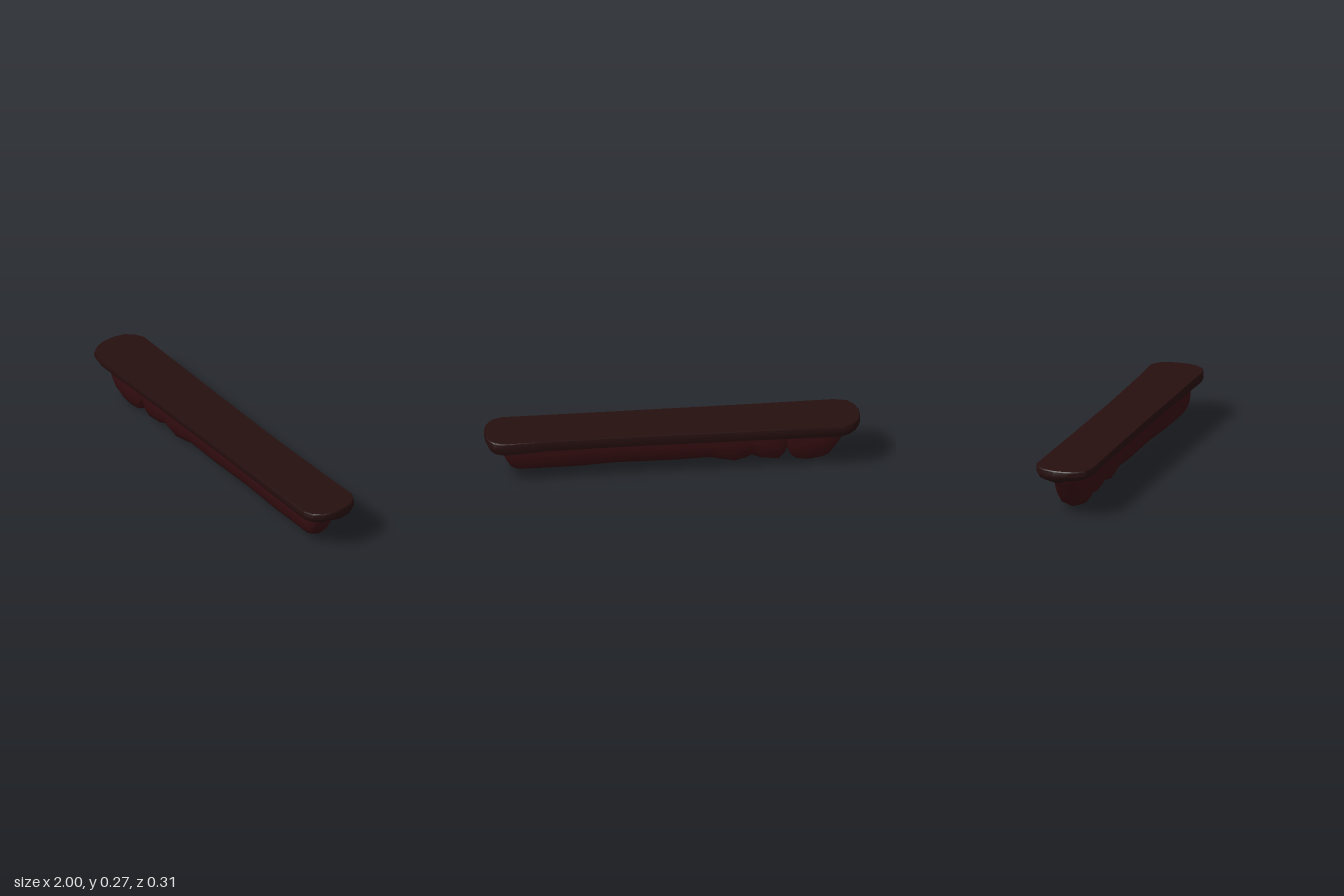
import * as THREE from 'three';
import { toCreasedNormals } from 'three/addons/utils/BufferGeometryUtils.js';

// Skin closed rings of [x, y, z] points, with a fan closing each end.
function loft(rings, crease) {
  const n = rings[0].length, last = (rings.length - 1) * n;
  const points = rings.flat(), index = [];
  const centre = (ring) => [0, 1, 2].map((k) => ring.reduce((s, p) => s + p[k], 0) / n);
  const start = points.push(centre(rings[0])) - 1;
  const end = points.push(centre(rings[rings.length - 1])) - 1;
  for (let j = 0; j < n; j++) {
    const k = (j + 1) % n;
    for (let i = 0; i < last; i += n) {
      index.push(i + j, i + n + j, i + k, i + k, i + n + j, i + n + k);
    }
    index.push(start, j, k, end, last + k, last + j);
  }
  const geometry = new THREE.BufferGeometry();
  geometry.setAttribute('position', new THREE.Float32BufferAttribute(points.flat(), 3));
  geometry.setIndex(index);
  return toCreasedNormals(geometry, crease);
}

// Long slab with clipped round ends and a stepped underside.
function slabGeometry() {
  const outline = [
    [1, -0.03], [0.99, -0.1], [0.965, -0.135], [0.92, -0.158], [0.7, -0.15], [0.2, -0.143],
    [-0.4, -0.149], [-0.9, -0.156], [-0.95, -0.13], [-0.985, -0.085], [-1, -0.03],
    [-1, 0.04], [-0.985, 0.09], [-0.95, 0.138], [-0.88, 0.156], [-0.4, 0.15], [0.2, 0.147],
    [0.9, 0.147], [0.95, 0.125], [0.985, 0.08], [1, 0.03],
  ];
  // Height, scale along x, scale along z, share of the underside sag
  const levels = [
    [0.268, 0.996, 0.985, 0], [0.262, 1, 1, 0], [0.238, 1, 1, 0.4],
    [0.222, 0.985, 0.94, 1], [0.203, 0.95, 0.68, 1], [0.195, 0.93, 0.5, 1],
  ];
  return loft(levels.map(([y, sx, sz, sag]) => outline.map(([x, z]) => {
    const drop = sag * ((z < 0 ? 0.016 : 0.002) + (x > 0.8 ? 0.01 : 0));
    return [x * sx, y - drop, z * sz];
  })), 0.6);
}

// Trough-like body whose underside is lumpy towards one end.
function bodyGeometry() {
  const top = 0.222, middle = 0.012, half = 0.083;
  // Position along x, lowest height, width scale
  const stations = [
    [-0.95, 0.212, 0.62], [-0.92, 0.165, 0.75], [-0.875, 0.09, 0.87], [-0.83, 0.03, 0.95],
    [-0.79, 0.013, 1], [-0.72, 0.002, 1], [-0.66, 0.011, 0.98], [-0.63, 0.035, 0.92],
    [-0.61, 0.085, 0.84], [-0.597, 0.05, 0.9], [-0.565, 0.016, 0.97], [-0.47, 0.027, 0.97],
    [-0.42, 0.05, 0.91], [-0.395, 0.034, 0.94], [-0.33, 0.016, 0.97], [-0.24, 0.036, 0.96],
    [-0.2, 0.047, 0.94], [0, 0.041, 0.95], [0.3, 0.045, 0.95], [0.53, 0.034, 0.97],
    [0.82, 0.034, 0.96], [0.86, 0.05, 0.9], [0.89, 0.1, 0.8], [0.92, 0.18, 0.62],
  ];
  // Half section: side offset and depth, from the keel up
  const side = [[0.63, 0.91], [0.93, 0.7], [1, 0.45], [1, 0.2], [1, 0]];
  const section = [[0, 1], ...side, ...side.map(([s, d]) => [-s, d]).reverse()];
  return loft(stations.map(([x, low, w]) =>
    section.map(([s, d]) => [x, top + (low - top) * d, middle + s * half * w])), 0.75);
}

export function createModel() {
  const slabBrown = new THREE.MeshStandardMaterial({ color: 0x260f0f });
  slabBrown.name = 'dark brown';
  const bodyRed = new THREE.MeshStandardMaterial({ color: 0x330d10 });
  bodyRed.name = 'dark red brown';

  const group = new THREE.Group();
  const slab = new THREE.Mesh(slabGeometry(), slabBrown);
  slab.name = 'topSlab';
  const body = new THREE.Mesh(bodyGeometry(), bodyRed);
  body.name = 'lowerBody';
  group.add(slab, body);
  return group;
}
